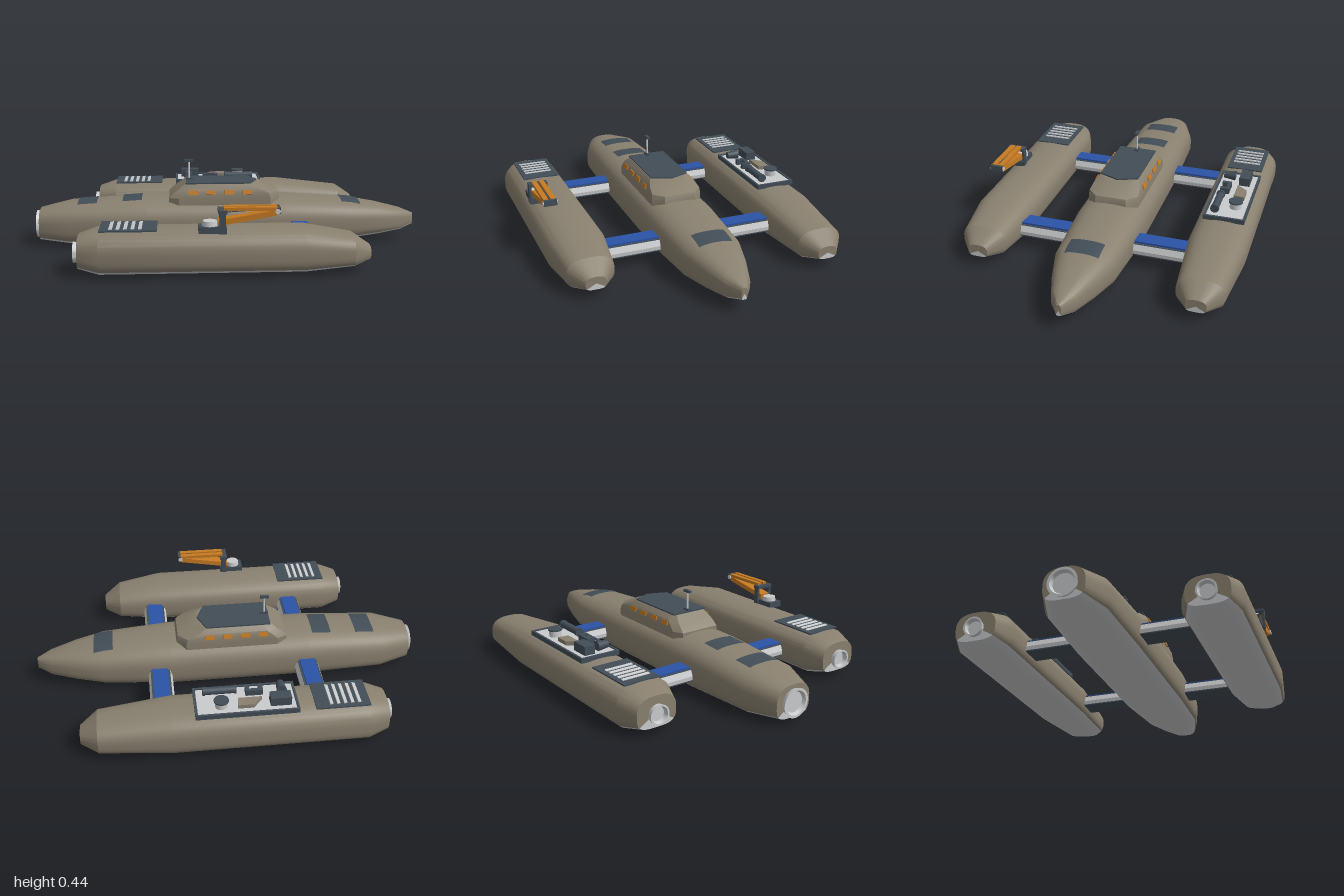
import * as THREE from 'three';
import { toCreasedNormals } from 'three/addons/utils/BufferGeometryUtils.js';

const mat = (name, color, side = THREE.FrontSide) => {
  const m = new THREE.MeshStandardMaterial({ color, side });
  m.name = name;
  return m;
};

// Skin between rings of points [x, y, z]
function loft(rings, crease) {
  const n = rings[0].length, index = [];
  for (let i = 0; i < rings.length - 1; i++) {
    for (let j = 0; j < n - 1; j++) {
      const a = i * n + j, b = a + n;
      index.push(a, b, a + 1, b, b + 1, a + 1);
    }
  }
  const g = new THREE.BufferGeometry();
  g.setAttribute('position', new THREE.Float32BufferAttribute(rings.flat(2), 3));
  g.setIndex(index);
  return toCreasedNormals(g, crease);
}

// Hull sections: [x, half width, bottom y, top y]
const LEVEL = 0.48, TOP_N = 2.6, LOW_N = 3.5, KEEL = 0.645;
const beamLine = ([, , lo, hi]) => lo + LEVEL * (hi - lo);

function hullArc(s, t0, t1, n) {
  const [x, w, lo, hi] = s, mid = beamLine(s), pts = [];
  for (let i = 0; i <= n; i++) {
    const t = t0 + (t1 - t0) * i / n, c = Math.cos(t), q = Math.sin(t);
    const e = 2 / (q > 0 ? TOP_N : LOW_N);
    const y = q > 0 ? mid + (hi - mid) * q ** e : mid - (mid - lo) * (-q) ** e;
    pts.push([x, y, w * Math.sign(c) * Math.abs(c) ** e]);
  }
  return pts;
}

const centreSections = [
  [-0.98, 0.1, 0.03, 0.19], [-0.82, 0.16, 0.015, 0.226], [-0.42, 0.175, 0.005, 0.25],
  [0.3, 0.175, 0.005, 0.25], [0.65, 0.153, 0.024, 0.225], [0.8, 0.11, 0.038, 0.2],
  [0.93, 0.063, 0.056, 0.168], [1.0, 0.014, 0.08, 0.14],
];
const sideSections = (bow) => [
  [-0.72, 0.105, 0.04, 0.19], [-0.62, 0.146, 0.016, 0.223], [0.33, 0.146, 0.016, 0.223],
  [bow - 0.085, 0.115, 0.035, 0.182], [bow, 0.05, 0.06, 0.125],
];

export function createModel() {
  const khaki = mat('khaki hull', 0x89806f);
  const slate = mat('dark slate', 0x424d57, THREE.DoubleSide);
  const light = mat('light grey', 0xcacbcd, THREE.DoubleSide);
  const blue = mat('blue', 0x2a52a6);
  const orange = mat('orange', 0xc67a22);

  const model = new THREE.Group();
  const add = (parent, name, geo, material, x = 0, y = 0, z = 0) => {
    const m = new THREE.Mesh(geo, material);
    m.name = name;
    m.position.set(x, y, z);
    parent.add(m);
    return m;
  };
  const box = (parent, name, material, w, h, d, x, y, z) =>
    add(parent, name, new THREE.BoxGeometry(w, h, d), material, x, y, z);
  const cyl = (parent, name, material, r, h, x, y, z, r2 = r) =>
    add(parent, name, new THREE.CylinderGeometry(r2, r, h, 24), material, x, y, z);
  const group = (parent, name, z = 0) => {
    const g = new THREE.Group();
    g.name = name;
    g.position.z = z;
    parent.add(g);
    return g;
  };

  // Topsides, keel and stern nozzle of one hull
  function hull(name, sections, z, nozzle) {
    const g = group(model, name, z);
    const tip = (s) => [s[0], 0, beamLine(s), beamLine(s)];
    const all = [tip(sections[0]), ...sections, tip(sections.at(-1))];
    const skin = (a, b, n) => loft(all.map((s) => hullArc(s, a, b, n)), 0.4);
    add(g, 'topsides', skin(-KEEL, Math.PI + KEEL, 40), khaki);
    add(g, 'keel', skin(Math.PI + KEEL, 2 * Math.PI - KEEL, 16), light);
    const [r, len] = nozzle, x = sections[0][0];
    const profile = [[0, 0.004], [r * 0.7, 0.004], [r * 0.82, len], [r, len], [r * 0.85, -0.01]];
    const n = add(g, 'sternNozzle', toCreasedNormals(new THREE.LatheGeometry(
      profile.map((p) => new THREE.Vector2(...p)), 32), 0.5), light, x, 0.105, 0);
    n.rotation.z = Math.PI / 2;
    return g;
  }
  const centre = hull('centreHull', centreSections, 0, [0.072, 0.02]);
  const left = hull('leftHull', sideSections(0.645), 0.565, [0.05, 0.026]);
  const right = hull('rightHull', sideSections(0.768), -0.565, [0.05, 0.026]);

  // Deck hatches that follow the curve of the centre hull
  const sectionAt = (x) => {
    const i = centreSections.findIndex((s) => s[0] >= x);
    const a = centreSections[i - 1], b = centreSections[i], k = (x - a[0]) / (b[0] - a[0]);
    return a.map((v, j) => v + (b[j] - v) * k);
  };
  for (const x of [-0.73, -0.497, 0.65]) {
    const rings = [-0.05, 0, 0.05].map((dx) => {
      const s = sectionAt(x + dx), mid = beamLine(s);
      return Array.from({ length: 13 }, (_, i) => {
        const z = 0.085 - 0.17 * i / 12;
        const y = mid + (s[3] - mid) * (1 - (Math.abs(z) / s[1]) ** TOP_N) ** (1 / TOP_N);
        return [s[0], y + 0.004, z];
      });
    });
    add(centre, 'deckHatch', loft(rings, 0.4), slate);
  }

  // Cabin with sloping sides: [y, back x, front x, half width, corner]
  const cabinRings = [
    [0.21, -0.305, 0.27, 0.132, 0.05], [0.258, -0.305, 0.27, 0.132, 0.05],
    [0.282, -0.28, 0.262, 0.129, 0.05], [0.304, -0.25, 0.21, 0.122, 0.05],
    [0.327, -0.222, 0.155, 0.102, 0.04], [0.327, 0, 0, 0, 0],
  ].map(([y, b, f, w, c]) => [
    [f - c, w], [b + c, w], [b, w - c * 0.5], [b, c * 0.5 - w], [b + c, -w], [f - c, -w],
    [f, c - w], [f, w - c], [f - c, w],
  ].map(([x, z]) => [x, y, z]));
  add(centre, 'cabin', loft(cabinRings, 0.45), khaki);
  const roof = new THREE.Shape([[-0.22, -0.1], [0.115, -0.1], [0.155, 0], [0.115, 0.1], [-0.22, 0.1]]
    .map((p) => new THREE.Vector2(...p)));
  add(centre, 'cabinRoof', new THREE.ExtrudeGeometry(roof, { depth: 0.007, bevelEnabled: false })
    .rotateX(-Math.PI / 2), slate, 0, 0.327, 0);
  for (const side of [-1, 1]) {
    for (let i = 0; i < 4; i++) {
      box(centre, 'window', orange, 0.048, 0.022, 0.0095, -0.18 + i * 0.093, 0.288, side * 0.128)
        .rotation.x = -side * 0.3;
    }
  }
  cyl(centre, 'mast', light, 0.005, 0.11, -0.2, 0.38, 0);
  box(centre, 'mastFoot', slate, 0.04, 0.01, 0.02, -0.2, 0.338, 0);
  box(centre, 'mastHead', slate, 0.044, 0.012, 0.016, -0.2, 0.434, 0);

  // Cross beams joining the hulls
  const beam = new THREE.Shape([[-0.06, 0.08], [0.06, 0.08], [0.062, 0.1], [0.05, 0.13],
    [-0.05, 0.13], [-0.062, 0.1]].map((p) => new THREE.Vector2(...p)));
  for (const x of [-0.408, 0.363]) {
    add(model, 'crossBeam', new THREE.ExtrudeGeometry(beam, { depth: 1, bevelEnabled: false }), light, x, 0, -0.5);
    box(model, 'beamUnderside', slate, 0.12, 0.006, 1, x, 0.077, 0);
    box(model, 'beamTopEdge', slate, 0.1, 0.004, 1, x, 0.131, 0);
    box(model, 'beamTopPanel', blue, 0.08, 0.009, 1, x, 0.1375, 0);
  }

  // Louvred vents on the side hulls
  for (const g of [left, right]) {
    box(g, 'ventPlate', slate, 0.265, 0.007, 0.19, -0.487, 0.2235, -0.005);
    for (let i = 0; i < 5; i++) {
      box(g, 'ventLouvre', light, 0.016, 0.006, 0.145, -0.568 + i * 0.034, 0.228, -0.005).rotation.z = 0.2;
    }
  }

  // Equipment tray on the right hull
  const tray = group(right, 'equipmentTray', -0.004);
  box(tray, 'trayBase', slate, 0.495, 0.016, 0.208, -0.027, 0.226, 0);
  box(tray, 'trayFloor', light, 0.47, 0.006, 0.184, -0.027, 0.234, 0);
  for (const s of [-1, 1]) {
    box(tray, 'traySideRim', slate, 0.495, 0.014, 0.011, -0.027, 0.235, s * 0.0985);
    box(tray, 'trayEndRim', slate, 0.011, 0.014, 0.208, -0.027 + s * 0.242, 0.235, 0);
  }
  box(tray, 'equipmentCase', slate, 0.1, 0.045, 0.056, -0.19, 0.259, -0.037);
  const wedge = new THREE.Shape([[-0.105, 0.01], [0.01, 0.01], [0.017, 0.065], [-0.06, 0.065]]
    .map((p) => new THREE.Vector2(...p)));
  add(tray, 'slantedBlock', new THREE.ExtrudeGeometry(wedge, { depth: 0.02, bevelEnabled: false })
    .rotateX(-Math.PI / 2), khaki, 0, 0.237, 0);
  cyl(tray, 'drum', light, 0.03, 0.034, 0.093, 0.253, -0.037);
  cyl(tray, 'drumLid', slate, 0.036, 0.007, 0.093, 0.272, -0.037);
  cyl(tray, 'taperedBuoy', slate, 0.026, 0.06, -0.205, 0.258, 0.05, 0.018).rotation.x = Math.PI / 2;
  box(tray, 'archBar', slate, 0.085, 0.03, 0.018, -0.073, 0.252, 0.032);
  for (const s of [-1, 1]) {
    box(tray, 'archLeg', slate, 0.02, 0.03, 0.036, -0.073 + s * 0.0325, 0.252, 0.052);
    cyl(tray, 'canisterCap', slate, 0.022, 0.012, 0.093 + s * 0.076, 0.258, 0.055).rotation.z = Math.PI / 2;
  }
  cyl(tray, 'canister', slate, 0.019, 0.145, 0.093, 0.258, 0.055).rotation.z = Math.PI / 2;

  // Folded crane on the left hull
  const crane = group(left, 'crane', 0.085);
  box(crane, 'craneBase', slate, 0.1, 0.03, 0.08, -0.115, 0.232, 0);
  cyl(crane, 'craneTurret', light, 0.036, 0.024, -0.112, 0.258, 0, 0.033);
  const boom = (name, material, x0, y0, x1, y1, h, d, z) => {
    box(crane, name, material, Math.hypot(x1 - x0, y1 - y0), h, d, (x0 + x1) / 2, (y0 + y1) / 2, z)
      .rotation.z = Math.atan2(y1 - y0, x1 - x0);
  };
  boom('lowerBoom', orange, -0.075, 0.262, 0.19, 0.308, 0.026, 0.056, 0);
  for (const s of [-1, 1]) {
    boom('upperBoom', orange, -0.05, 0.327, 0.194, 0.327, 0.016, 0.025, s * 0.0185);
    box(crane, 'cradlePost', slate, 0.028, 0.1, 0.013, -0.055, 0.272, s * 0.042);
  }
  boom('boomRam', slate, -0.05, 0.312, 0.16, 0.325, 0.012, 0.009, 0);
  box(crane, 'cradleBar', slate, 0.04, 0.016, 0.096, -0.055, 0.316, 0);
  box(crane, 'cradleFoot', slate, 0.036, 0.03, 0.09, -0.055, 0.23, 0);
  box(crane, 'boomTip', slate, 0.016, 0.03, 0.066, 0.2, 0.318, 0);
  cyl(crane, 'boomPin', light, 0.012, 0.072, 0.196, 0.316, 0).rotation.x = Math.PI / 2;

  return model;
}
